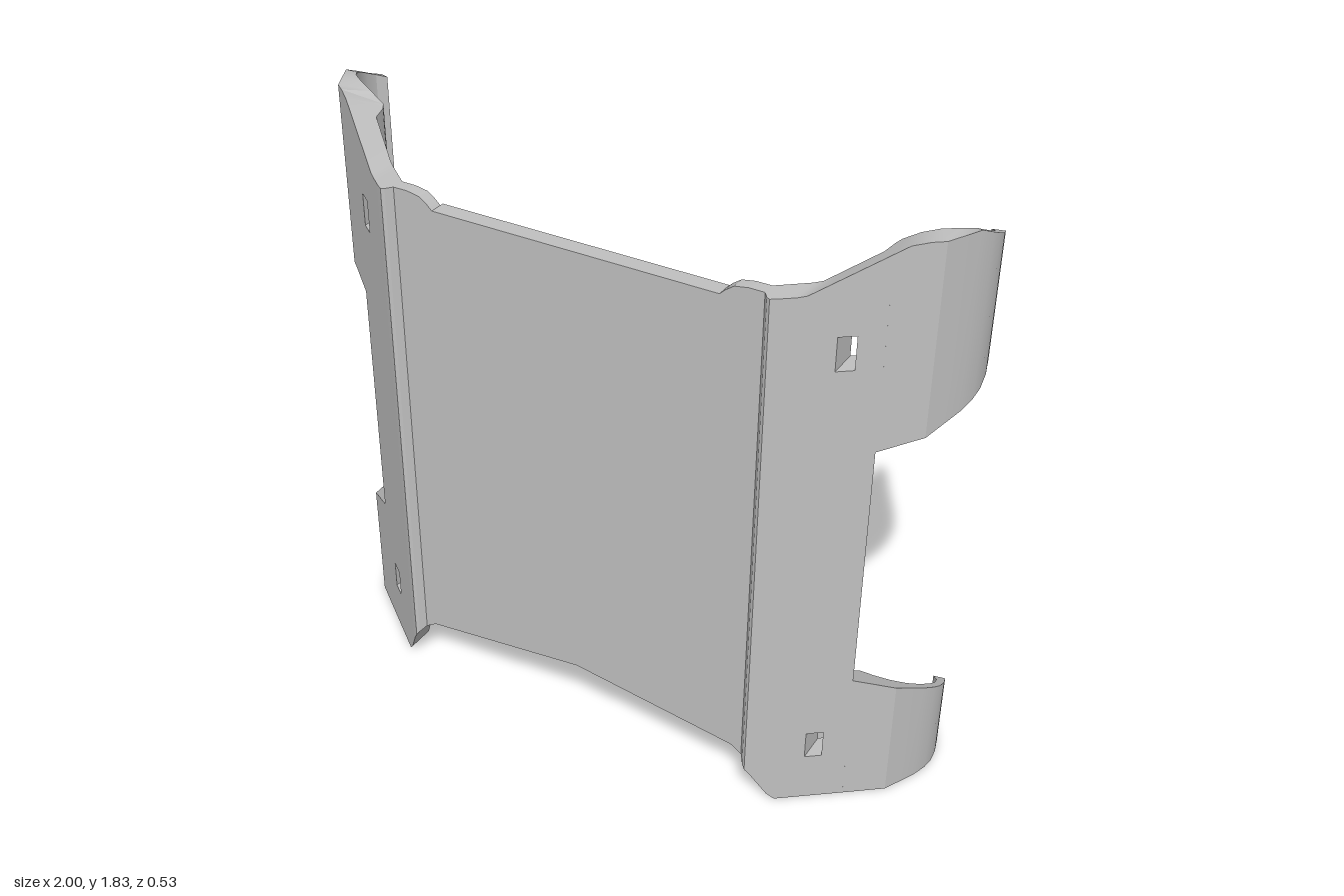
import * as THREE from 'three';
import { toCreasedNormals } from 'three/addons/utils/BufferGeometryUtils.js';

// Piecewise linear curve through [t, value] points, clamped at both ends
function curve(pts) {
  return (t) => {
    if (t <= pts[0][0]) return pts[0][1];
    for (let i = 1; i < pts.length; i++) {
      const [a, va] = pts[i - 1], [b, vb] = pts[i];
      if (t <= b) return va + ((vb - va) * (t - a)) / (b - a);
    }
    return pts[pts.length - 1][1];
  };
}

// Outline rules
const bottomX = curve([[0, 0.245], [0.53, 0.18], [0.57, 0.155], [0.6, 0.115], [0.625, 0.065], [0.645, 0.025], [0.665, 0]]);
const topX = curve([[0.44, 1.66], [0.455, 1.675], [0.48, 1.693], [0.52, 1.7], [0.66, 1.7], [0.87, 1.83]]);
const topZ = curve([[-0.26, 1.755], [-0.1, 1.83]]);
const lowCutZ = curve([[-0.27, 0.255], [0.08, 0.44]]);
const highCutZ = curve([[-0.27, 1.375], [0.08, 1.225]]);
const bottom = (x) => bottomX(x);
const top = (x, z) => Math.min(topX(x), topZ(z));
const lowCut = (x, z) => lowCutZ(z);
const highCut = (x, z) => highCutZ(z);
const at = (y) => () => y;

// Slot heights and the depth where the side cut-out begins
const SLOTS = [[0.16, 0.25], [1.48, 1.58]];
const CUT_Z = 0.08;
const SLOT_X = 0.73;

// Solid strip: each station is [outerX, outerZ, innerX, innerZ]; bands gives the height ranges of a cell
function strip(stations, slotIndex, bands, side) {
  const pos = [];
  const quad = (...c) => {
    if (side < 0) c.reverse();
    for (const i of [0, 1, 2, 0, 2, 3]) pos.push(c[i][0] * side, c[i][1], c[i][2]);
  };
  const last = stations.length - 2;
  for (let i = 0; i <= last; i++) {
    const [a, b] = [stations[i], stations[i + 1]];
    for (const [lo, hi] of bands(i === slotIndex)) {
      const pair = (x, z) => [[x, lo(x, z), z], [x, hi(x, z), z]];
      const [o0, O0] = pair(a[0], a[1]), [i0, I0] = pair(a[2], a[3]);
      const [o1, O1] = pair(b[0], b[1]), [i1, I1] = pair(b[2], b[3]);
      quad(o0, o1, O1, O0);
      quad(i1, i0, I0, I1);
      quad(O0, O1, I1, I0);
      quad(i0, i1, o1, o0);
      if (i === last || i === slotIndex - 1) quad(o1, i1, I1, O1);
      if (i === 0 || i === slotIndex + 1) quad(i0, o0, O0, I0);
    }
  }
  const g = new THREE.BufferGeometry();
  g.setAttribute('position', new THREE.Float32BufferAttribute(pos, 3));
  return toCreasedNormals(g, 0.45);
}

// Slanted wing that runs the full height
const outerZ = curve([[0.44, 0.24], [0.565, 0.24], [0.58, 0.26], [0.59, 0.265], [0.605, 0.255], [0.93, 0]]);
const innerZ = curve([[0.44, 0.2], [0.565, 0.2], [0.78, 0.025]]);
const wingX = [0.44, 0.455, 0.48, 0.52, 0.53, 0.565, 0.58, 0.59, 0.605, 0.625, 0.645, 0.665, 0.712, SLOT_X, 0.77, 0.828];
const wingStations = wingX.map((x) => [x, outerZ(x), x, Math.max(innerZ(x), CUT_Z)]);
const wingBands = (slot) => slot
  ? [[bottom, at(SLOTS[0][0])], [at(SLOTS[0][1]), at(SLOTS[1][0])], [at(SLOTS[1][1]), top]]
  : [[bottom, top]];

// Curved hooks, one at the bottom and one at the top
const hookStations = [
  [0.712, 0.08, 0.712, 0.08], [0.73, 0.08, 0.73, 0.066], [0.77, 0.08, 0.77, 0.033],
  [0.79, 0.08, 0.78, 0.025], [0.828, 0.08, 0.79, -0.02], [0.86, 0.055, 0.8, -0.036],
  [0.9, 0.023, 0.845, -0.041], [0.93, 0, 0.89, -0.055], [0.955, -0.05, 0.93, -0.083],
  [0.98, -0.1, 0.957, -0.12], [0.995, -0.145, 0.973, -0.16], [1, -0.18, 0.978, -0.19],
  [0.996, -0.225, 0.972, -0.225], [0.984, -0.268, 0.952, -0.252],
];
const lowBands = (slot) => slot
  ? [[at(0), at(SLOTS[0][0])], [at(SLOTS[0][1]), lowCut]] : [[at(0), lowCut]];
const highBands = (slot) => slot
  ? [[highCut, at(SLOTS[1][0])], [at(SLOTS[1][1]), top]] : [[highCut, top]];

// Centre plate outline
function plateShape() {
  const s = new THREE.Shape();
  s.moveTo(-0.44, bottomX(0.44));
  s.lineTo(0, bottomX(0));
  s.lineTo(0.44, bottomX(0.44));
  s.lineTo(0.44, 1.66);
  s.lineTo(-0.44, 1.66);
  s.closePath();
  return s;
}

function hexagon(cx, cy, r) {
  const p = new THREE.Path();
  for (let k = 0; k < 6; k++) {
    const a = (-k * Math.PI) / 3;
    const [x, y] = [cx + r * Math.cos(a), cy + r * Math.sin(a)];
    if (k) p.lineTo(x, y); else p.moveTo(x, y);
  }
  p.closePath();
  return p;
}

export function createModel() {
  const model = new THREE.Group();
  model.name = 'curvedBracketPlate';
  const grey = new THREE.MeshStandardMaterial({ color: 0xc0c0c0 });
  grey.name = 'light grey';
  const add = (name, geometry) => {
    const mesh = new THREE.Mesh(geometry, grey);
    mesh.name = name;
    model.add(mesh);
    return mesh;
  };

  // Solid front layer of the centre plate
  add('centrePlate', new THREE.ExtrudeGeometry(plateShape(), { depth: 0.04, bevelEnabled: false })).position.z = 0.2;

  // Back layer pierced by hexagons, giving shallow pockets
  const pocketed = plateShape();
  for (let col = -1; col <= 1; col++) {
    for (let row = -2; row <= 2; row++) pocketed.holes.push(hexagon(col * 0.216, 0.92 + row * 0.271, 0.09));
  }
  add('hexagonPocketLayer', new THREE.ExtrudeGeometry(pocketed, { depth: 0.012, bevelEnabled: false })).position.z = 0.188;

  // Mirrored wings and hooks
  for (const [label, side] of [['left', 1], ['right', -1]]) {
    add(label + 'Wing', strip(wingStations, wingX.indexOf(SLOT_X), wingBands, side));
    add(label + 'LowerHook', strip(hookStations, 1, lowBands, side));
    add(label + 'UpperHook', strip(hookStations, 1, highBands, side));
  }
  return model;
}
